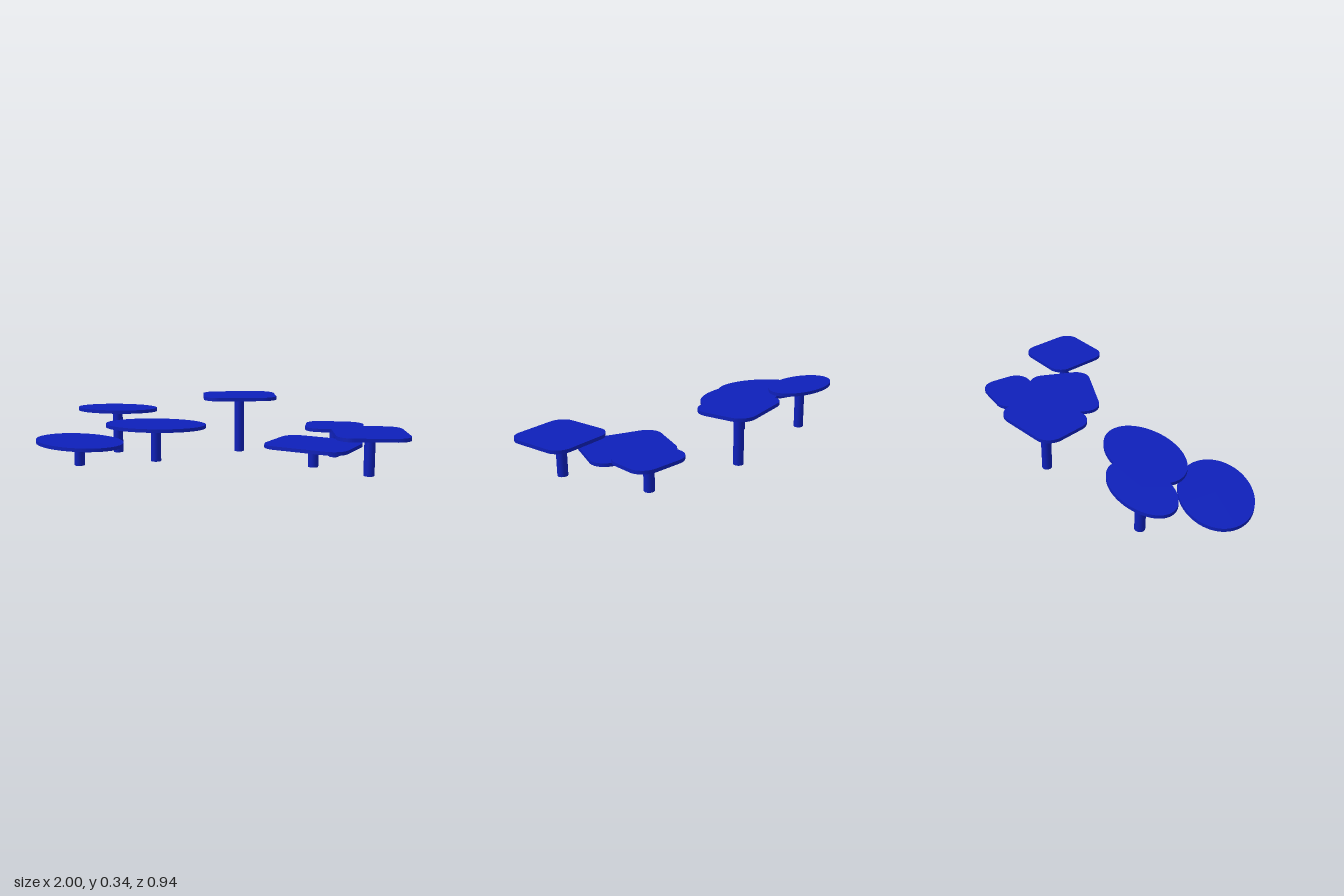
import * as THREE from 'three';
import { toCreasedNormals } from 'three/addons/utils/BufferGeometryUtils.js';

const THICKNESS = 0.019;
const POST_RADIUS = 0.028;

// Elliptical slab with half-widths a and b, underside at y = 0
function ovalSlab({ a, b }) {
  return new THREE.CylinderGeometry(1, 1, THICKNESS, 64)
    .scale(a, 1, b)
    .translate(0, THICKNESS / 2, 0);
}

// Rounded rectangle slab with half-widths a and b, underside at y = 0
function roundedSlab({ a, b, r }) {
  const s = new THREE.Shape();
  s.absarc(a - r, b - r, r, 0, Math.PI / 2);
  s.absarc(r - a, b - r, r, Math.PI / 2, Math.PI);
  s.absarc(r - a, r - b, r, Math.PI, Math.PI * 1.5);
  s.absarc(a - r, r - b, r, Math.PI * 1.5, Math.PI * 2);
  s.closePath();
  const g = new THREE.ExtrudeGeometry(s, { depth: THICKNESS, bevelEnabled: false, curveSegments: 12 });
  return toCreasedNormals(g.rotateX(-Math.PI / 2), 0.6);
}

// y is the underside of the top; turn is in degrees about the post
const TABLES = [
  { name: 'lowOvalTable', x: -0.741, z: 0.255, y: 0.116, a: 0.278, b: 0.191, turn: -29 },
  { name: 'tallOvalTable', x: -0.644, z: -0.136, y: 0.246, a: 0.233, b: 0.14, turn: 0 },
  { name: 'largeOvalTable', x: -0.36, z: 0.081, y: 0.19, a: 0.28, b: 0.185, turn: 0 },
  { name: 'tallRoundedTable', x: 0.052, z: -0.284, y: 0.316, a: 0.209, b: 0.162, r: 0.09, turn: 12.5 },
  { name: 'smallRoundedTable', x: 0.611, z: -0.206, y: 0.162, a: 0.163, b: 0.14, r: 0.088, turn: 0 },
  { name: 'lowRoundedTable', x: 0.508, z: 0.084, y: 0.109, a: 0.233, b: 0.188, r: 0.087, turn: -20 },
  { name: 'frontRoundedTable', x: 0.8, z: 0.253, y: 0.206, a: 0.185, b: 0.184, r: 0.08, turn: 8.5 },
];

export function createModel() {
  const model = new THREE.Group();
  model.name = 'tableGroup';
  const blue = new THREE.MeshStandardMaterial({ color: 0x0e20ba });

  for (const t of TABLES) {
    const table = new THREE.Group();
    table.name = t.name;
    table.position.set(t.x, 0, t.z);
    table.rotation.y = THREE.MathUtils.degToRad(t.turn);

    // Top
    const top = new THREE.Mesh(t.r ? roundedSlab(t) : ovalSlab(t), blue);
    top.name = 'tableTop';
    top.position.y = t.y;

    // Central post from the floor to the underside
    const post = new THREE.Mesh(new THREE.CylinderGeometry(POST_RADIUS, POST_RADIUS, t.y, 32), blue);
    post.name = 'post';
    post.position.y = t.y / 2;

    table.add(top, post);
    model.add(table);
  }
  return model;
}
